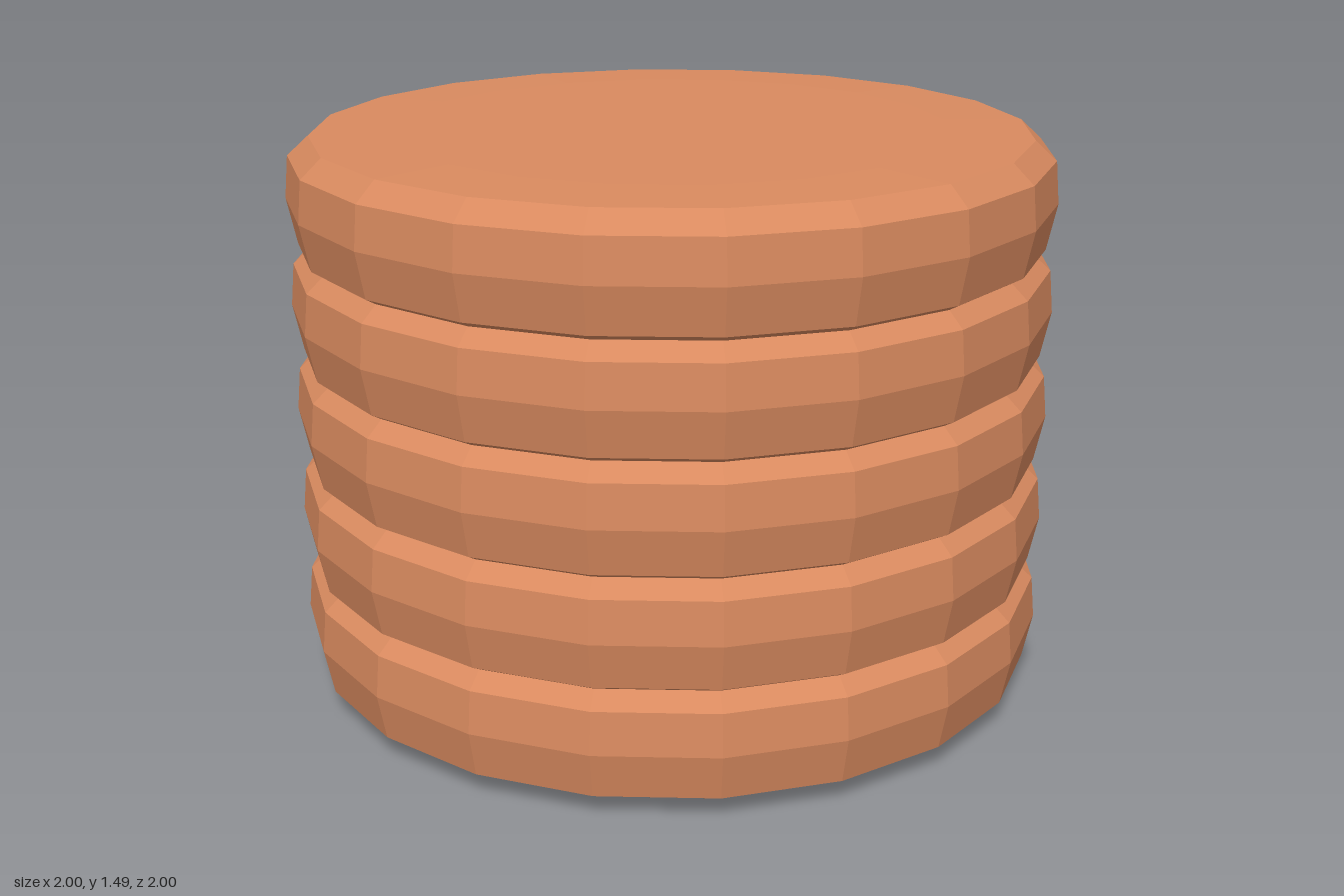
import * as THREE from 'three';

const DISC_COUNT = 5;
const SPACING = 0.285;
const SIDES = 20;

// Half cross-section of one disc, from the bottom centre to the top centre
const PROFILE = [
  [0, 0], [0.72, 0.002], [0.89, 0.012],
  [0.975, 0.06], [1, 0.18], [0.99, 0.29],
  [0.935, 0.34], [0.72, 0.345], [0, 0.345],
].map(([r, y]) => new THREE.Vector2(r, y));

export function createModel() {
  const model = new THREE.Group();
  model.name = 'discStack';

  const material = new THREE.MeshStandardMaterial({ color: 0xd98a5f, flatShading: true });
  const geometry = new THREE.LatheGeometry(PROFILE, SIDES);

  // Identical discs, each sunk slightly into the one below
  for (let i = 0; i < DISC_COUNT; i++) {
    const disc = new THREE.Mesh(geometry, material);
    disc.name = `disc${i + 1}`;
    disc.position.y = i * SPACING;
    model.add(disc);
  }
  return model;
}
